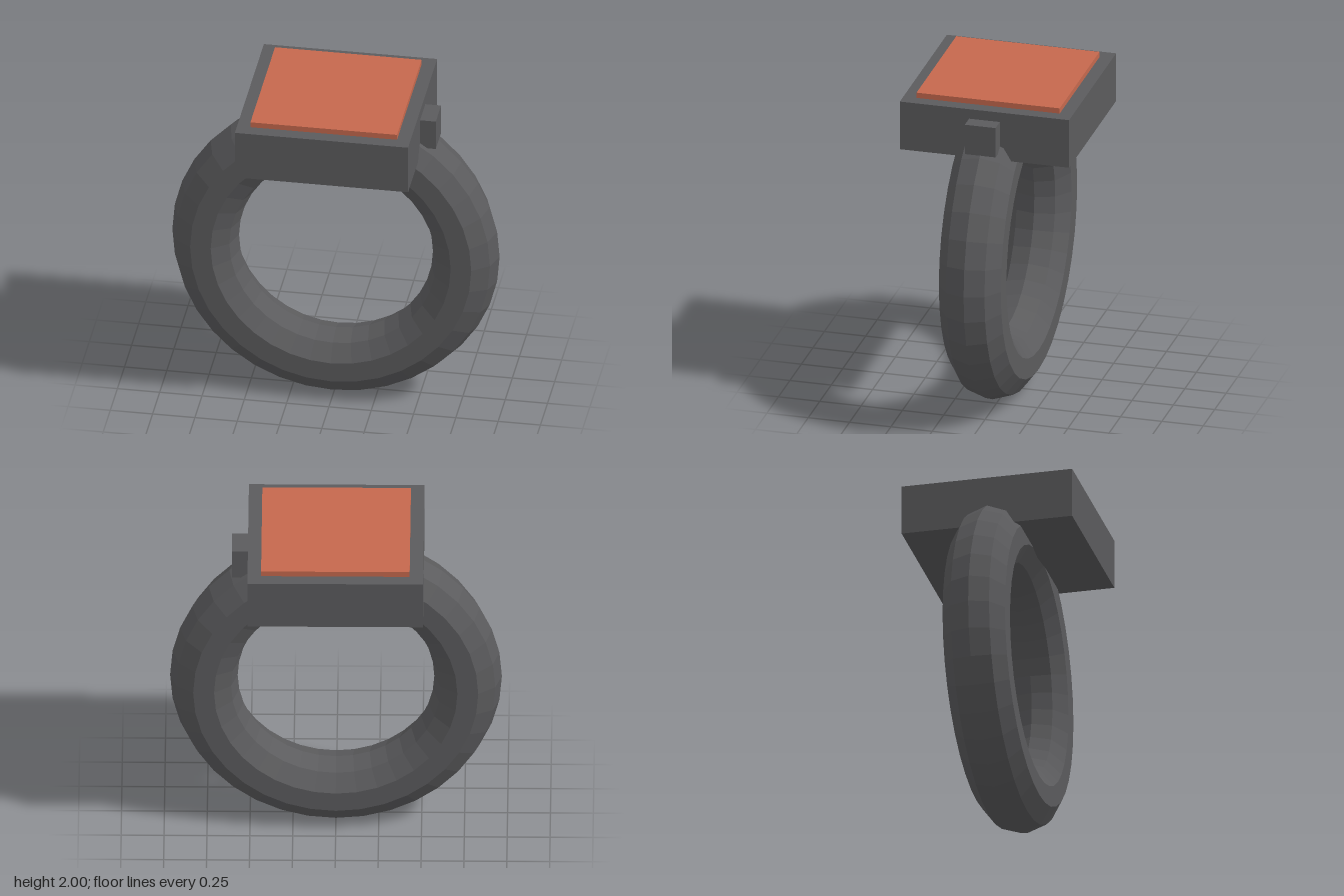
import * as THREE from 'three';

export function createModel() {
  const model = new THREE.Group();
  const metal = new THREE.MeshStandardMaterial({ name: 'darkMetal', color: 0x5b5b5d, flatShading: true });
  const orange = new THREE.MeshStandardMaterial({ name: 'orangeFace', color: 0xc5684d, flatShading: true });

  function add(name, geometry, material, x, y, z) {
    const mesh = new THREE.Mesh(geometry, material);
    mesh.name = name;
    mesh.position.set(x, y, z);
    model.add(mesh);
  }

  // Faceted finger band, ten-sided in section
  add('band', new THREE.TorusGeometry(0.77, 0.197, 10, 36), metal, 0, 0.971, 0);

  // Square housing sitting over the top of the band
  add('housing', new THREE.BoxGeometry(1.024, 0.302, 1.024), metal, 0, 1.816, 0);

  // Raised square face plate
  add('facePlate', new THREE.BoxGeometry(0.866, 0.034, 0.866), orange, 0, 1.983, 0);

  // Side button on the model's left
  add('sideButton', new THREE.BoxGeometry(0.105, 0.186, 0.186), metal, 0.553, 1.814, 0);

  return model;
}
